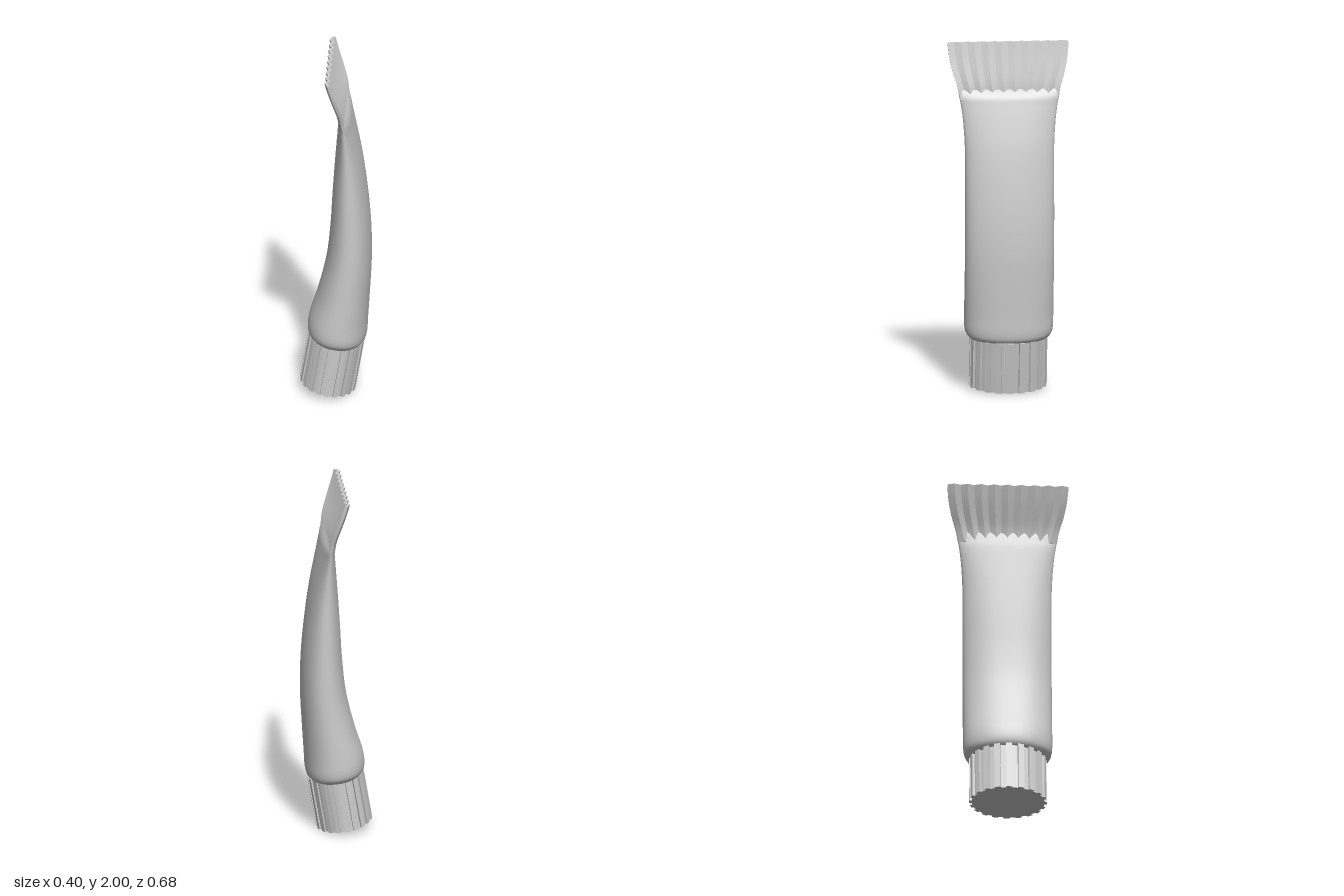
import * as THREE from 'three';
import { toCreasedNormals } from 'three/addons/utils/BufferGeometryUtils.js';

const material = new THREE.MeshStandardMaterial({ color: 0xcccccc, side: THREE.DoubleSide });

function addMesh(group, name, geometry) {
  const mesh = new THREE.Mesh(geometry, material);
  mesh.name = name;
  group.add(mesh);
  return mesh;
}

// Squeezed tube: oval rings lofted from the cap up to the flat seam
function bodyGeometry() {
  // [height, left x, right x, half width in z, ring tilt]
  const rows = [
    [0.31, 0.002, 0.006, 0.004, 0.12],
    [0.31, -0.11, 0.12, 0.19, 0.12],
    [0.325, -0.147, 0.158, 0.23, 0.12],
    [0.365, -0.16, 0.174, 0.249, 0.1],
    [0.45, -0.15, 0.18, 0.252, 0.04],
    [0.6, -0.104, 0.19, 0.252, 0],
    [0.8, -0.056, 0.2, 0.252, 0],
    [1.0, -0.033, 0.196, 0.252, 0],
    [1.2, -0.021, 0.178, 0.252, 0],
    [1.4, -0.007, 0.15, 0.252, 0],
    [1.55, 0.005, 0.118, 0.26, 0],
    [1.65, 0.014, 0.093, 0.272, 0],
    [1.695, 0.023, 0.08, 0.281, 0],
    [1.725, 0.03, 0.06, 0.286, 0],
    [1.742, 0.036, 0.044, 0.288, 0],
  ];
  const spans = new THREE.CatmullRomCurve3(rows.map((r) => new THREE.Vector3(r[1], r[2], r[3])), false, 'catmullrom', 0.5);
  const levels = new THREE.CatmullRomCurve3(rows.map((r) => new THREE.Vector3(r[0], r[4], 0)), false, 'catmullrom', 0.5);
  const rings = (rows.length - 1) * 4, sides = 48;
  const soften = (v) => Math.sign(v) * Math.abs(v) ** 0.92;
  const positions = [], index = [];
  for (let i = 0; i <= rings; i++) {
    const span = spans.getPoint(i / rings), level = levels.getPoint(i / rings);
    const centre = (span.x + span.y) / 2, half = (span.y - span.x) / 2;
    for (let j = 0; j < sides; j++) {
      const a = (j / sides) * Math.PI * 2;
      const dx = half * soften(Math.cos(a));
      positions.push(centre + dx, level.x - level.y * dx, span.z * soften(Math.sin(a)));
      if (i === rings) continue;
      const p = i * sides + j, q = i * sides + ((j + 1) % sides);
      index.push(p, p + sides, q, q, p + sides, q + sides);
    }
  }
  const geometry = new THREE.BufferGeometry();
  geometry.setAttribute('position', new THREE.Float32BufferAttribute(positions, 3));
  geometry.setIndex(index);
  geometry.computeVertexNormals();
  return geometry;
}

// Crimped end: a thin zigzag sheet that flares and bends towards -x
function crimpGeometry() {
  const folds = 18, bottom = 1.68, top = 2;
  const path = new THREE.CatmullRomCurve3([
    [0.046, 1.68, 0.272], [0.036, 1.745, 0.292], [0.012, 1.83, 0.317],
    [-0.014, 1.91, 0.334], [-0.037, 2, 0.342],
  ].map((p) => new THREE.Vector3(...p)));
  const geometry = new THREE.BoxGeometry(0.018, 1, 1, 1, 10, folds);
  const pos = geometry.attributes.position;
  for (let i = 0; i < pos.count; i++) {
    const t = pos.getY(i) + 0.5, s = pos.getZ(i);
    const p = path.getPoint(t);
    const fold = Math.round((s + 0.5) * folds) % 2 ? -0.008 : 0.008;
    pos.setXYZ(i, pos.getX(i) + p.x + fold, THREE.MathUtils.lerp(bottom, top, t), s * 2 * p.z);
  }
  return toCreasedNormals(geometry, 0.4);
}

// Oval screw cap with square ribs around its side
function capGeometry() {
  const ribs = 20, points = [];
  const step = (Math.PI * 2) / ribs;
  for (let i = 0; i < ribs; i++) {
    for (const [offset, scale] of [[-0.25, 0.935], [-0.25, 1], [0.25, 1], [0.25, 0.935]]) {
      const a = (i + offset) * step;
      points.push(new THREE.Vector2(0.16 * scale * Math.cos(a), 0.22 * scale * Math.sin(a)));
    }
  }
  const geometry = new THREE.ExtrudeGeometry(new THREE.Shape(points), { depth: 0.3, bevelEnabled: false });
  return geometry.rotateX(-Math.PI / 2);
}

export function createModel() {
  const group = new THREE.Group();
  group.name = 'squeezeTube';
  addMesh(group, 'tubeBody', bodyGeometry());
  addMesh(group, 'crimpedEnd', crimpGeometry());
  const cap = addMesh(group, 'ribbedCap', capGeometry());
  cap.position.set(-0.047, 0.029, 0);
  cap.rotation.z = -0.17;
  return group;
}
